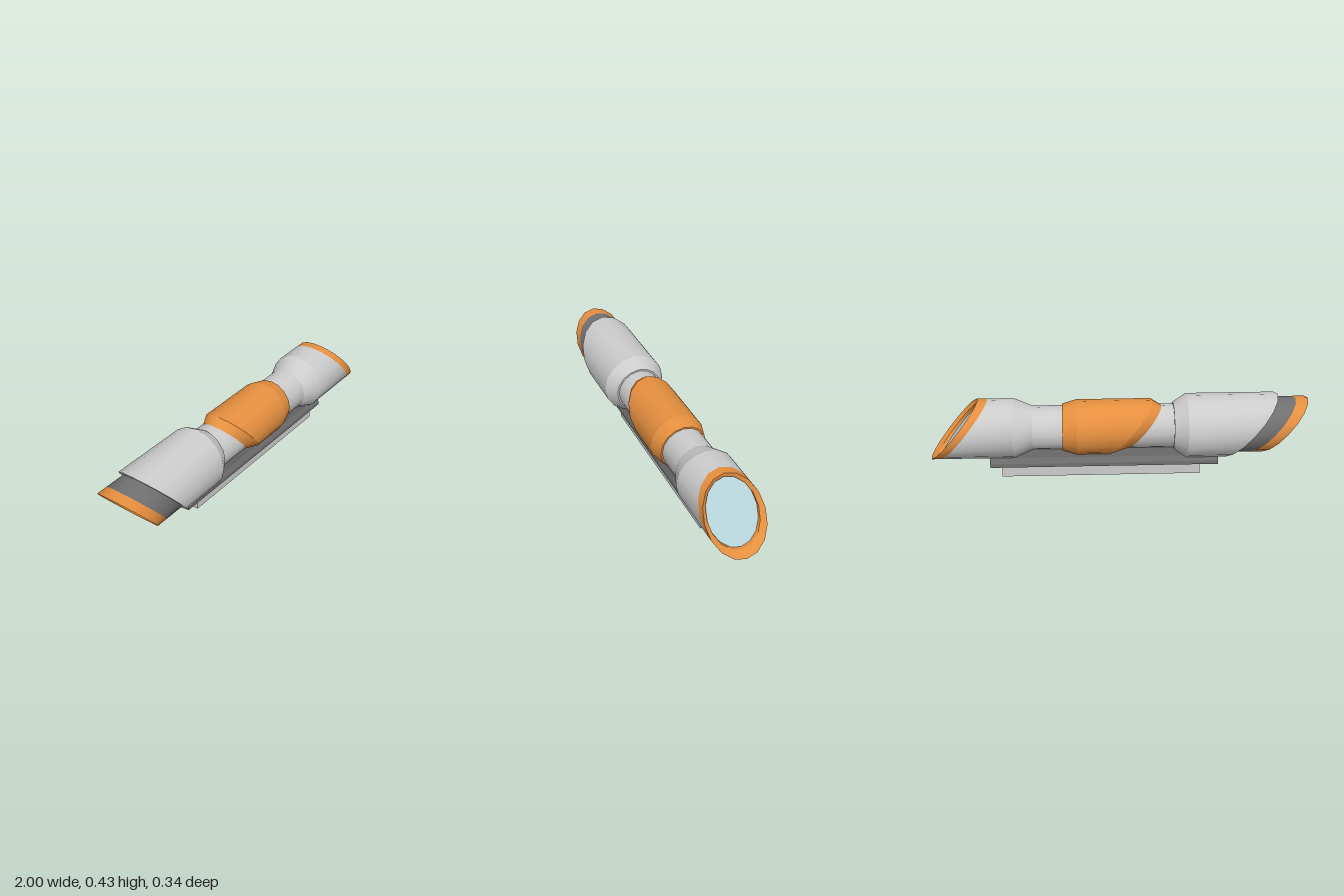
import * as THREE from 'three';

const SIDES = 16, AXIS_Y = 0.2585, SLANT = -0.825;
const mat = (color) => new THREE.MeshStandardMaterial({ color });
const grey = mat(0xcccccc), dark = mat(0x707070), orange = mat(0xe58f3f), glass = mat(0xb4d2da);

// Lofted tube along x. Each ring is [centre x, radius, slanted?];
// every band has its own vertices so edges between bands stay sharp.
function tube(rings) {
  const pos = [], index = [];
  const addRing = ([cx, r, slanted]) => {
    for (let i = 0; i < SIDES; i++) {
      const a = (i / SIDES) * Math.PI * 2, y = r * Math.cos(a);
      pos.push(cx + (slanted ? SLANT * y : 0), AXIS_Y + y, r * Math.sin(a));
    }
  };
  for (let k = 0; k < rings.length - 1; k++) {
    const base = pos.length / 3;
    addRing(rings[k]);
    addRing(rings[k + 1]);
    for (let i = 0; i < SIDES; i++) {
      const a = base + i, b = base + (i + 1) % SIDES, c = a + SIDES, d = b + SIDES;
      index.push(a, b, c, b, d, c);
    }
  }
  const g = new THREE.BufferGeometry();
  g.setAttribute('position', new THREE.Float32BufferAttribute(pos, 3));
  g.setIndex(index);
  g.computeVertexNormals();
  return g;
}

export function createModel() {
  const model = new THREE.Group();
  const add = (name, geometry, material) => {
    const mesh = new THREE.Mesh(geometry, material);
    mesh.name = name;
    model.add(mesh);
    return mesh;
  };

  // Rear end: recessed lens, slanted rim, dark collar
  add('rearLens', tube([[-0.82, 0, true], [-0.82, 0.122, true]]).scale(1, 1, 1), glass).material = glass.clone();
  model.getObjectByName('rearLens').material.side = THREE.DoubleSide;
  add('rearRim', tube([[-0.815, 0.122, true], [-0.86, 0.122, true], [-0.88, 0.147, true], [-0.815, 0.147, true]]), orange);
  add('rearCollar', tube([[-0.815, 0.147, true], [-0.69, 0.147, true]]), dark);

  // Thick rear housing with slanted end and chamfered shoulder
  add('rearHousing', tube([[-0.70, 0.146, true], [-0.70, 0.171, true], [-0.36, 0.171], [-0.29, 0.126], [-0.29, 0.116]]), grey);

  // Narrow barrel flaring into the front bell
  add('barrel', tube([[-0.30, 0.117], [0.45, 0.117], [0.55, 0.158], [0.815, 0.158, true]]), grey);

  // Middle sleeve, slanted at its rear edge
  add('sleeve', tube([[-0.135, 0.115, true], [-0.06, 0.147, true], [0.22, 0.147], [0.295, 0.125], [0.295, 0.115]]), orange);

  // Front end: slanted rim and recessed lens
  add('frontRim', tube([[0.815, 0.158, true], [0.865, 0.158, true], [0.842, 0.134, true], [0.815, 0.134, true]]), orange);
  add('frontLens', tube([[0.822, 0.134, true], [0.822, 0, true]]), glass);

  // Mount bracket: constant profile running along the barrel
  const half = [[0.075, 0.0625], [0.075, 0.082], [0.064, 0.112], [0.06, 0.165]];
  const outline = [...half, ...half.map(([z, y]) => [-z, y]).reverse()];
  const bracket = new THREE.ExtrudeGeometry(
    new THREE.Shape(outline.map(([z, y]) => new THREE.Vector2(z, y))),
    { depth: 1.21, bevelEnabled: false }
  );
  bracket.rotateY(Math.PI / 2).translate(-0.53, 0, 0);
  add('mountBracket', bracket, dark);

  // Mount rail
  add('mountRail', new THREE.BoxGeometry(1.055, 0.064, 0.11).translate(0.0925, 0.032, 0), grey);

  return model;
}
